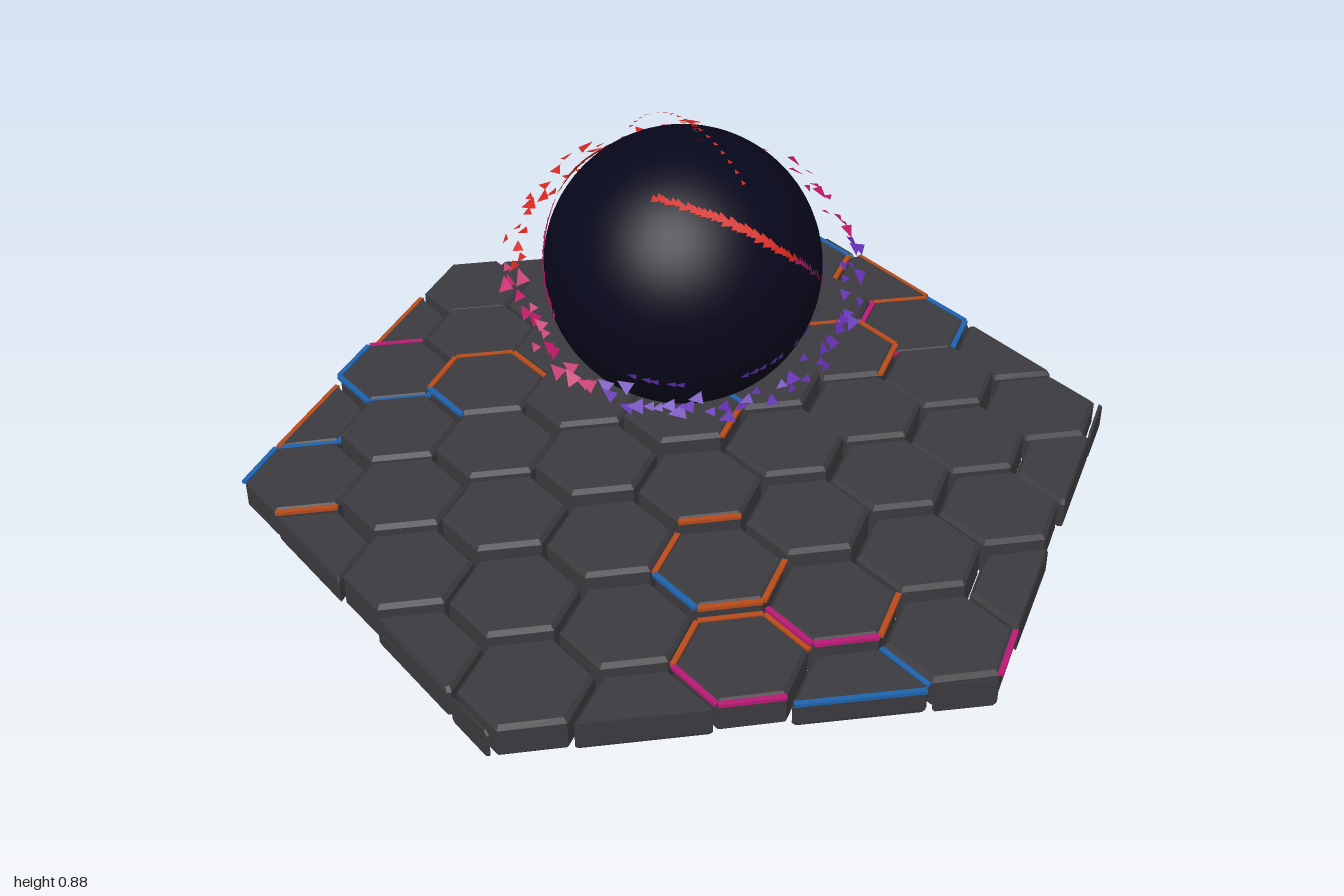
import * as THREE from 'three';
import { ConvexGeometry } from 'three/addons/geometries/ConvexGeometry.js';
import { mergeGeometries } from 'three/addons/utils/BufferGeometryUtils.js';

const mat = (name, color, side = THREE.FrontSide) => {
  const m = new THREE.MeshStandardMaterial({ color, side });
  m.name = name;
  return m;
};
let seed = 7;
const rand = () => (seed = (seed * 16807) % 2147483647) / 2147483647;

const PITCH = 0.248, GAP = 0.012, TURN = 0.017;
const CENTER = new THREE.Vector3(0, 0.545, -0.01), RADIUS = 0.305;

// Keep the part of a polygon inside the half-plane n.p <= d
function clip(poly, nx, nz, d) {
  const out = [];
  poly.forEach((a, i) => {
    const b = poly[(i + 1) % poly.length];
    const da = a[0] * nx + a[1] * nz - d, db = b[0] * nx + b[1] * nz - d;
    if (da <= 0) out.push(a);
    if (da * db < 0) {
      const t = da / (da - db);
      out.push([a[0] + (b[0] - a[0]) * t, a[1] + (b[1] - a[1]) * t]);
    }
  });
  return out;
}

// Hexagonal cell cut by the outline of the platform
function cell(cx, cz) {
  const r = (PITCH - GAP) / Math.sqrt(3);
  let poly = [];
  for (let k = 0; k < 6; k++) {
    const a = Math.PI / 6 + k * Math.PI / 3 - TURN;
    poly.push([cx + r * Math.cos(a), cz + r * Math.sin(a)]);
  }
  for (let k = 0; k < 6; k++) {
    const a = k * Math.PI / 3;
    poly = clip(poly, Math.cos(a), Math.sin(a), k % 3 ? 0.866 : 0.874);
  }
  return poly;
}

const area = p => Math.abs(p.reduce((s, a, i) => {
  const b = p[(i + 1) % p.length];
  return s + a[0] * b[1] - a[1] * b[0];
}, 0)) / 2;

// Prism with bevelled top and bottom rims
function tileGeometry(poly, h) {
  const cx = poly.reduce((s, p) => s + p[0], 0) / poly.length;
  const cz = poly.reduce((s, p) => s + p[1], 0) / poly.length;
  const pts = [];
  for (const [y, inset] of [[0, 0.007], [0.007, 0], [h - 0.01, 0], [h, 0.01]]) {
    for (const [x, z] of poly) {
      const t = Math.min(0.3, inset / Math.hypot(x - cx, z - cz));
      pts.push(new THREE.Vector3(x + (cx - x) * t, y, z + (cz - z) * t));
    }
  }
  return new ConvexGeometry(pts);
}

// Glowing seams: cell x, cell z, then colour and the sides it lies on
// (side k faces 60k degrees, from +x towards +z)
const SEAMS = [
  [-0.25, -0.866, { orange: [4] }], [-0.5, -0.866, { orange: [4] }],
  [-0.375, -0.65, { blue: [1, 2, 3, 4], magenta: [5] }],
  [-0.625, -0.65, { blue: [1, 2], orange: [4] }],
  [-0.25, -0.433, { orange: [0, 4, 5], blue: [3] }],
  [-0.75, -0.433, { orange: [2], blue: [4] }],
  [0.75, -0.433, { orange: [1, 5], magenta: [4], blue: [0] }],
  [0.875, -0.217, { orange: [0, 2, 3] }],
  [0.5, 0, { orange: [0, 1, 4, 5] }],
  [0.75, 0, { magenta: [2, 3, 4], blue: [0, 1], orange: [5] }],
  [-0.25, 0.433, { blue: [3], orange: [1, 2, 4] }],
  [-0.375, 0.65, { orange: [0, 4, 5], magenta: [2, 3] }],
  [-0.125, 0.65, { magenta: [2, 3], orange: [1] }],
  [-0.25, 0.866, { blue: [0, 2] }], [0.125, 1.083, { magenta: [1] }],
  [0, 0.866, { magenta: [1] }],
  [0, 0, { orange: [1, 5], blue: [0] }], [0.125, -0.217, { orange: [4, 5] }],
  [-0.125, 0.217, { orange: [2] }],
];

// Strip over the tile's bevel and the gap beside it
function seamGeometry(a, b, angle, h) {
  const len = Math.hypot(b[0] - a[0], b[1] - a[1]);
  const g = new THREE.BoxGeometry(0.012, 0.008, len);
  g.translate(0.003, 0, 0);
  g.rotateY(-angle);
  return g.translate((a[0] + b[0]) / 2, h - 0.006, (a[1] + b[1]) / 2);
}

export function createModel() {
  const model = new THREE.Group();
  const add = (name, geometry, material) => {
    const mesh = new THREE.Mesh(geometry, material);
    mesh.name = name;
    model.add(mesh);
  };
  const slate = mat('slate', 0x3b3b3f);
  const seamMats = {
    orange: mat('orange glow', 0xb84a1a),
    blue: mat('blue glow', 0x1e62ac),
    magenta: mat('magenta glow', 0xb81a74),
  };

  // Stepped platform of hexagonal tiles
  const tiles = [], seams = { orange: [], blue: [], magenta: [] };
  for (let row = -5; row <= 5; row++) {
    for (let col = -5; col <= 5; col++) {
      const ux = (col + (row & 1) * 0.5) * PITCH, uz = row * PITCH * Math.sqrt(3) / 2;
      const cx = ux * Math.cos(TURN) + uz * Math.sin(TURN) - 0.004;
      const cz = uz * Math.cos(TURN) - ux * Math.sin(TURN) - 0.007;
      const poly = cell(cx, cz);
      if (poly.length < 3 || area(poly) < 0.0004) continue;
      const r = Math.hypot(ux, uz);
      const h = Math.max(0.068, 0.165 - 0.106 * r + (r > 0.1 ? (rand() - 0.5) * 0.012 : 0));
      tiles.push(tileGeometry(poly, h));

      const spec = SEAMS.find(s => Math.hypot(s[0] - ux, s[1] - uz) < 0.06);
      if (!spec) continue;
      poly.forEach((a, i) => {
        const b = poly[(i + 1) % poly.length];
        const angle = Math.atan2(-(b[0] - a[0]), b[1] - a[1]);
        const side = (Math.round(angle / (Math.PI / 3)) + 6) % 6;
        for (const c in spec[2]) {
          if (spec[2][c].includes(side)) seams[c].push(seamGeometry(a, b, angle, h));
        }
      });
    }
  }
  add('hexagonTiles', mergeGeometries(tiles), slate);
  for (const c in seams) add(c + 'Seams', mergeGeometries(seams[c]), seamMats[c]);

  // Floating orb
  const orb = new THREE.SphereGeometry(RADIUS, 64, 40);
  orb.translate(CENTER.x, CENTER.y, CENTER.z);
  add('orb', orb, mat('midnight navy', 0x07071c));

  // Small triangular shards: pointing along a direction, facing another
  const shards = { red: [], pink: [], purple: [] };
  const shard = (dir, radius, along, facing, size, color) => {
    const side = facing.clone().cross(along).setLength(size * 0.45);
    const p = dir.clone().setLength(radius).add(CENTER);
    const tip = p.clone().addScaledVector(along, size);
    const l = p.clone().add(side), r = p.clone().sub(side);
    shards[color].push(...tip.toArray(), ...l.toArray(), ...r.toArray());
  };

  // Tilted orbit: a dashed line close to the orb and a loose outer ring
  const tilt = new THREE.Vector3(-0.21, 1, 0.38).normalize();
  const shade = d => (d.z > 0.35 ? 'purple' : d.z > -0.55 ? 'pink' : 'red');
  const u = new THREE.Vector3(1, 0.21, 0).normalize(), v = u.clone().cross(tilt).normalize();
  const orbit = a => u.clone().multiplyScalar(Math.cos(a)).addScaledVector(v, Math.sin(a));
  const jitter = s => new THREE.Vector3(rand() - 0.5, rand() - 0.5, rand() - 0.5).multiplyScalar(s);
  for (let i = 0; i < 110; i++) {
    const a = i / 110 * Math.PI * 2 + rand() * 0.04;
    const dir = orbit(a), along = orbit(a + Math.PI / 2);
    if (dir.x + dir.z > -0.35 && rand() < 0.6) {
      shard(dir, RADIUS + 0.007, along, dir, 0.022, shade(dir));
    }
    const loose = dir.clone().addScaledVector(tilt, (rand() - 0.5) * 0.12);
    const facing = tilt.clone().addScaledVector(dir, 0.5).add(jitter(0.8));
    along.add(jitter(0.7)).normalize();
    shard(loose, 0.35 + rand() * 0.045, along, facing, 0.02 + rand() * 0.018, shade(dir));
  }

  // Streaks hugging the orb, each through three directions from its centre
  const streaks = [
    [[-0.15, 0.26, 0.09], [0.06, 0.13, 0.275], [0.26, -0.13, 0.12]],
    [[0.02, 0.31, 0.03], [0.16, 0.15, -0.23], [0.18, -0.19, -0.2]],
    [[0.055, 0.205, -0.235], [-0.2, 0.14, -0.2], [-0.306, -0.04, -0.05]],
  ];
  for (const points of streaks) {
    const curve = new THREE.CatmullRomCurve3(points.map(p =>
      new THREE.Vector3(...p).setLength(RADIUS)));
    for (let i = 0; i < 64; i++) {
      const t = i / 64, dir = curve.getPointAt(t), along = curve.getTangentAt(t);
      const facing = dir.clone().normalize();
      const cross = facing.clone().cross(along).normalize();
      dir.addScaledVector(cross, (rand() - 0.5) * 0.008);
      const size = 0.02 + 0.008 * Math.max(0, 1 - Math.abs(t - 0.25) * 5);
      shard(dir, RADIUS + 0.007, along, facing, size, t < 0.5 ? 'red' : 'pink');
    }
  }

  // Sparse shards arching over the crown
  for (let i = 0; i < 18; i++) {
    const a = -0.6 + i / 18 * 1.5;
    const dir = new THREE.Vector3(0.08 * Math.sin(a) + 0.08, Math.cos(a), -Math.sin(a));
    const along = new THREE.Vector3(0, -Math.sin(a), -Math.cos(a));
    shard(dir, 0.335, along, dir, 0.012, 'red');
  }

  const colors = { red: 0xd2261e, pink: 0xbe1664, purple: 0x6430b4 };
  for (const c in shards) {
    const g = new THREE.BufferGeometry();
    g.setAttribute('position', new THREE.Float32BufferAttribute(shards[c], 3));
    g.computeVertexNormals();
    add(c + 'Shards', g, mat(c + ' energy', colors[c], THREE.DoubleSide));
  }
  return model;
}
